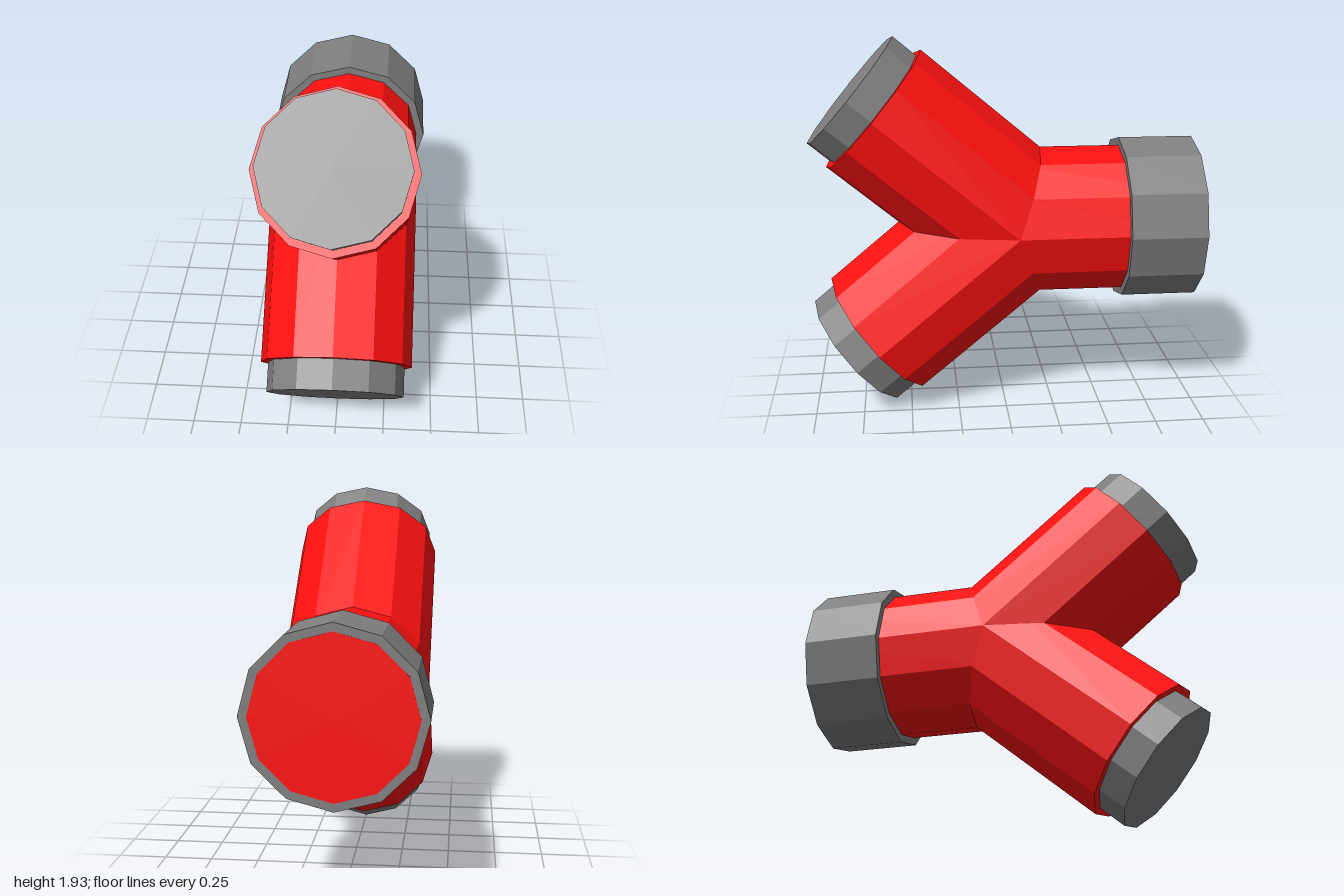
import * as THREE from 'three';

const SIDES = 12;
const CENTRE_Y = 0.97;
const JUNCTION_Z = -0.056;

const red = new THREE.MeshStandardMaterial({ color: 0xff1010, flatShading: true });
const grey = new THREE.MeshStandardMaterial({ color: 0x808080, flatShading: true });

// A closed twelve-sided cylinder running along local y from start to end
function section(name, radius, start, end, material) {
  const geometry = new THREE.CylinderGeometry(radius, radius, end - start, SIDES);
  geometry.translate(0, (start + end) / 2, 0);
  const mesh = new THREE.Mesh(geometry, material);
  mesh.name = name;
  return mesh;
}

// An arm leaving the junction, tilted from upright towards the front
function arm(name, degreesFromUp, ...parts) {
  const group = new THREE.Group();
  group.name = name;
  group.position.set(0, CENTRE_Y, JUNCTION_Z);
  group.rotation.x = THREE.MathUtils.degToRad(degreesFromUp);
  group.add(...parts);
  return group;
}

export function createModel() {
  const model = new THREE.Group();
  model.name = 'yPipeFitting';

  // Two forward branches, 40 degrees above and below level, each with a grey end plug
  for (const [name, angle] of [['upperBranch', 50], ['lowerBranch', 130]]) {
    model.add(arm(name, angle,
      section('branchPipe', 0.387, 0, 0.934, red),
      section('endPlug', 0.35, 0.8, 1.085, grey)));
  }

  // Level rear pipe, its end sitting flush in a wider grey collar
  model.add(arm('rearArm', -90,
    section('rearPipe', 0.387, 0, 0.945, red),
    section('rearCollar', 0.428, 0.556, 0.944, grey)));

  return model;
}
